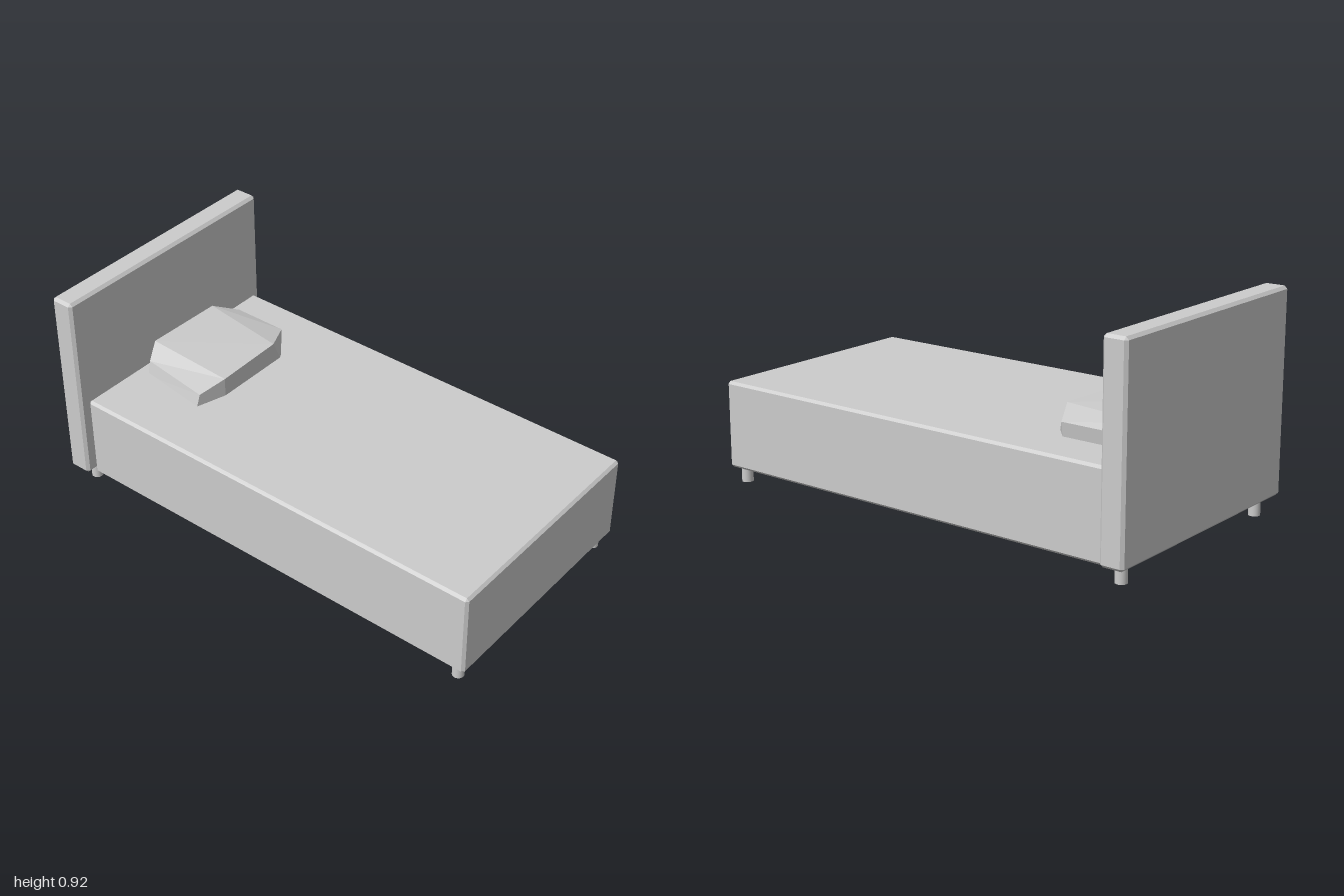
import * as THREE from 'three';
import { ConvexGeometry } from 'three/addons/geometries/ConvexGeometry.js';

const material = new THREE.MeshStandardMaterial({ color: 0xcccccc, flatShading: true });
const smooth = new THREE.MeshStandardMaterial({ color: 0xcccccc });

// Box with chamfered edges, given by its min and max corners
function chamferBox(name, min, max, c) {
  const size = max.map((v, i) => (v - min[i]) / 2);
  const points = [];
  for (const sx of [-1, 1]) for (const sy of [-1, 1]) for (const sz of [-1, 1]) {
    for (let axis = 0; axis < 3; axis++) {
      const [x, y, z] = size.map((h, i) => (i === axis ? h : h - c));
      points.push(new THREE.Vector3(sx * x, sy * y, sz * z));
    }
  }
  const mesh = new THREE.Mesh(new ConvexGeometry(points), material);
  mesh.position.set(...min.map((v, i) => (v + max[i]) / 2));
  mesh.name = name;
  return mesh;
}

// Pillow: an eight-sided top rim over a lower rim, joined by side walls
function makePillow() {
  const rim = [
    [-0.84, 0.485, 0.20], [-0.52, 0.484, 0.245], [-0.485, 0.514, 0.13], [-0.485, 0.522, -0.175],
    [-0.56, 0.49, -0.315], [-0.80, 0.49, -0.315], [-0.878, 0.522, -0.23], [-0.878, 0.53, 0.125],
  ];
  const base = [
    [-0.84, 0.42, 0.215], [-0.525, 0.42, 0.262], [-0.485, 0.42, 0.13], [-0.485, 0.42, -0.22],
    [-0.56, 0.42, -0.305], [-0.80, 0.42, -0.305], [-0.878, 0.42, -0.23], [-0.878, 0.42, 0.125],
  ];
  const index = [];
  const quad = (a, b, c, d) => index.push(a, b, c, a, c, d);
  // top in three strips, underside in the reverse order
  for (const [a, b, c, d] of [[0, 1, 2, 7], [7, 2, 3, 6], [6, 3, 4, 5]]) {
    quad(a, b, c, d);
    quad(d + 8, c + 8, b + 8, a + 8);
  }
  for (let i = 0; i < 8; i++) {
    const j = (i + 1) % 8;
    quad(i + 8, j + 8, j, i);
  }
  const indexed = new THREE.BufferGeometry();
  indexed.setAttribute('position', new THREE.Float32BufferAttribute([...rim, ...base].flat(), 3));
  indexed.setIndex(index);
  const geometry = indexed.toNonIndexed();
  geometry.computeVertexNormals();
  const mesh = new THREE.Mesh(geometry, material);
  mesh.name = 'pillow';
  return mesh;
}

export function createModel() {
  const group = new THREE.Group();
  group.name = 'bed';

  group.add(chamferBox('headboard', [-1, 0.073, -0.553], [-0.897, 0.915, 0.55], 0.012));
  group.add(chamferBox('mattressBase', [-0.897, 0.063, -0.516], [0.997, 0.432, 0.509], 0.011));
  group.add(makePillow());

  // Four short round legs
  const legGeometry = new THREE.CylinderGeometry(0.024, 0.024, 0.064, 24);
  for (const x of [-0.938, 0.945]) for (const z of [-0.467, 0.463]) {
    const leg = new THREE.Mesh(legGeometry, smooth);
    leg.position.set(x, 0.032, z);
    leg.name = 'leg';
    group.add(leg);
  }
  return group;
}
